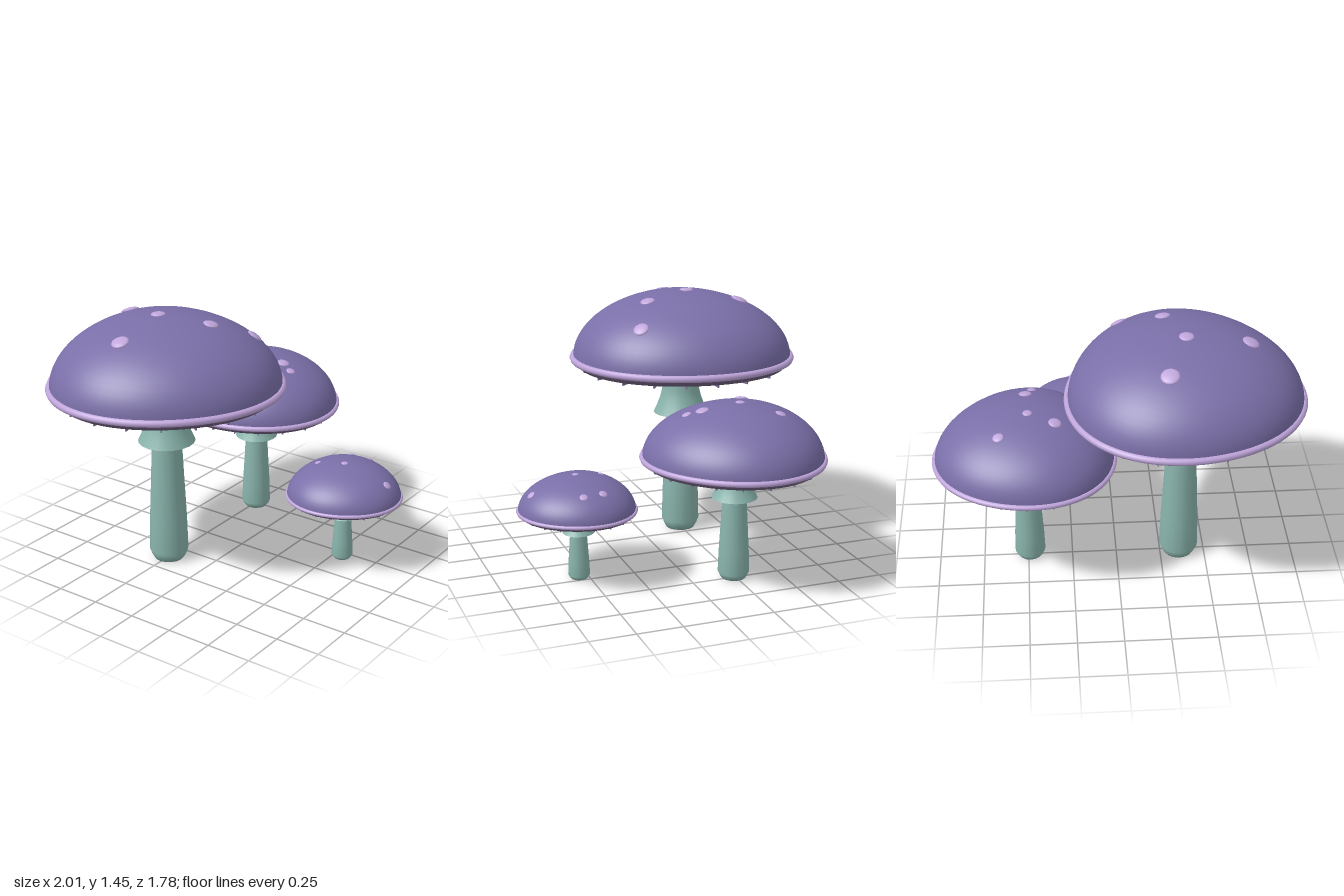
import * as THREE from 'three';
import { mergeVertices } from 'three/addons/utils/BufferGeometryUtils.js';

const paint = (color, side = THREE.FrontSide) => new THREE.MeshStandardMaterial({ color, side });
const capMat = paint(0x7a6fa8);
const paleMat = paint(0xc0a6dc);
const underMat = paint(0x6f5f7d);
const gillMat = paint(0x8a74a0);
const stemMat = paint(0x8ab5ad);
const collarMat = paint(0x8ab5ad, THREE.DoubleSide);

// x, z: foot; h: height of the underside; R: cap radius; lobe: direction of a bulge of the outline
// spots: [x, z, radius]
const MUSHROOMS = [
  { name: 'largeMushroom', x: -0.355, z: -0.255, h: 1.01, R: 0.625, stemR: 0.11, lobe: 75,
    spots: [[-0.25, -0.575, 0.05], [-0.36, -0.29, 0.04], [-0.7, -0.27, 0.048], [-0.26, -0.016, 0.042], [-0.03, 0.105, 0.044]] },
  { name: 'mediumMushroom', x: 0.49, z: -0.24, h: 0.652, R: 0.485, stemR: 0.086, lobe: 105,
    spots: [[0.33, -0.34, 0.036], [0.63, -0.435, 0.03], [0.475, -0.27, 0.026], [0.485, -0.05, 0.036], [0.45, 0.025, 0.026]] },
  { name: 'smallMushroom', x: 0.205, z: 0.553, h: 0.373, R: 0.316, stemR: 0.06, lobe: 90,
    spots: [[0.16, 0.405, 0.018], [0.19, 0.56, 0.019], [0.41, 0.475, 0.023], [0.42, 0.585, 0.022], [0.22, 0.815, 0.024]] },
];

function add(group, name, geometry, material) {
  const mesh = new THREE.Mesh(geometry, material);
  mesh.name = name;
  group.add(mesh);
  return mesh;
}

const lathe = (points, segments) =>
  new THREE.LatheGeometry(points.map(([r, y]) => new THREE.Vector2(r, y)), segments);

function createMushroom({ name, x, z, h, R, stemR, lobe, spots }) {
  const group = new THREE.Group();
  group.name = name;
  group.position.set(x, 0, z);
  const rimY = h + 0.086 * R;
  const domeH = 0.595 * R;

  // Gently three-lobed outline shared by cap, rim and gills
  const wobble = (a) => 1 + 0.025 * Math.cos(3 * (a - THREE.MathUtils.degToRad(lobe)));

  function lobedLathe(points) {
    let geo = lathe(points, 64);
    const pos = geo.attributes.position;
    for (let i = 0; i < pos.count; i++) {
      const w = wobble(Math.atan2(pos.getZ(i), pos.getX(i)));
      pos.setX(i, pos.getX(i) * w);
      pos.setZ(i, pos.getZ(i) * w);
    }
    geo.deleteAttribute('normal');
    geo.deleteAttribute('uv');
    geo = mergeVertices(geo, 1e-5);
    geo.computeVertexNormals();
    return geo;
  }

  // Stem with a rounded foot
  add(group, 'stem', lathe([
    [0, 0], [stemR * 0.76, 0], [stemR * 0.88, h * 0.022], [stemR, h * 0.055], [stemR * 0.95, h * 0.25],
    [stemR * 0.84, h * 0.5], [stemR * 0.75, h * 0.72], [stemR * 0.7, h * 0.9], [stemR * 0.69, rimY],
  ], 16), stemMat);

  // Flared collar, open below and closed on top
  add(group, 'collar', lathe([
    [stemR * 1.44, h * 0.71], [stemR * 1.25, h * 0.755], [stemR * 1.08, h * 0.805],
    [stemR * 0.98, h * 0.85], [stemR * 0.96, h * 0.9],
  ], 20), collarMat);
  const top = add(group, 'collarTop', new THREE.RingGeometry(stemR * 0.6, stemR * 0.96, 20), collarMat);
  top.rotation.x = -Math.PI / 2;
  top.position.y = h * 0.9;

  // Cap dome
  const dome = [];
  for (let i = 0; i <= 18; i++) {
    const t = (i / 18) * Math.PI / 2;
    dome.push([i === 18 ? 0 : R * Math.cos(t), rimY + domeH * Math.sin(t)]);
  }
  add(group, 'cap', lobedLathe(dome), capMat);

  // Underside curling up to the rim
  add(group, 'capUnderside', lobedLathe([
    [0, h + 0.008 * R], [R * 0.5, h + 0.004 * R], [R * 0.9, h], [R * 0.95, h + 0.01 * R],
    [R * 0.98, h + 0.04 * R], [R, rimY],
  ]), underMat);

  // Rolled rim
  const ring = [];
  for (let i = 0; i < 32; i++) {
    const a = (i / 32) * Math.PI * 2;
    const r = R * wobble(a);
    ring.push(new THREE.Vector3(r * Math.cos(a), rimY, r * Math.sin(a)));
  }
  add(group, 'rim', new THREE.TubeGeometry(new THREE.CatmullRomCurve3(ring, true), 80, R * 0.032, 8, true), paleMat);

  // Radiating gills
  const gills = new THREE.Group();
  gills.name = 'gills';
  group.add(gills);
  for (let i = 0; i < 20; i++) {
    const a = (i / 20) * Math.PI * 2;
    const outer = R * 0.93 * wobble(a);
    const inner = R * 0.24;
    const gill = add(gills, 'gill', new THREE.BoxGeometry(outer - inner, R * 0.035, R * 0.012), gillMat);
    const mid = (outer + inner) / 2;
    gill.position.set(mid * Math.cos(a), h - 0.001, mid * Math.sin(a));
    gill.rotation.y = -a;
  }

  // Flattened spots lying on the dome
  const up = new THREE.Vector3(0, 1, 0);
  for (const [sx, sz, r] of spots) {
    const dx = sx - x, dz = sz - z;
    const edge = R * wobble(Math.atan2(dz, dx));
    const lift = Math.sqrt(1 - (dx * dx + dz * dz) / (edge * edge));
    const normal = new THREE.Vector3(dx / edge ** 2, lift / domeH, dz / edge ** 2).normalize();
    const spot = add(group, 'spot', new THREE.SphereGeometry(r, 18, 10), paleMat);
    spot.scale.y = 0.3;
    spot.position.set(dx, rimY + domeH * lift, dz);
    spot.quaternion.setFromUnitVectors(up, normal);
  }
  return group;
}

export function createModel() {
  const model = new THREE.Group();
  model.name = 'mushroomCluster';
  for (const spec of MUSHROOMS) model.add(createMushroom(spec));
  return model;
}
